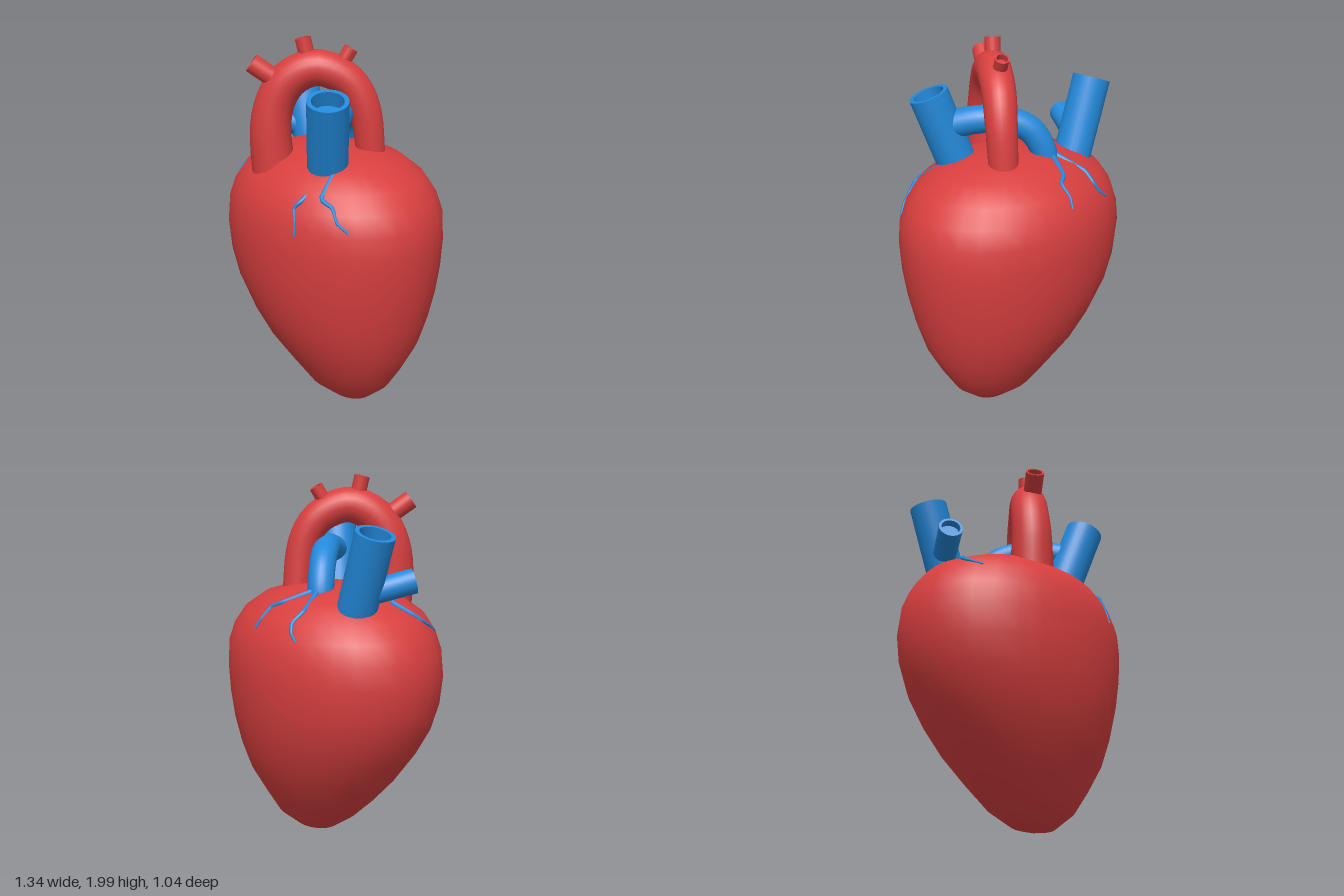
import * as THREE from 'three';
import { mergeVertices, toCreasedNormals } from 'three/addons/utils/BufferGeometryUtils.js';

const V = (p) => new THREE.Vector3(...p);

// Heart cross-sections: y, left edge x, right edge x, half depth
const ROWS = [
  [0.005, 0.16, 0.16, 0], [0.035, 0.02, 0.29, 0.1], [0.12, -0.11, 0.395, 0.205],
  [0.24, -0.245, 0.475, 0.285], [0.38, -0.38, 0.55, 0.375], [0.53, -0.5, 0.597, 0.44],
  [0.68, -0.595, 0.632, 0.485], [0.83, -0.65, 0.656, 0.51], [0.98, -0.67, 0.667, 0.52],
  [1.1, -0.656, 0.66, 0.513], [1.2, -0.615, 0.618, 0.485], [1.29, -0.55, 0.55, 0.43],
  [1.37, -0.415, 0.425, 0.33], [1.42, -0.25, 0.25, 0.2], [1.44, 0, 0, 0],
];

// Loft of ellipses through the rows
function heartGeometry(sides = 32) {
  const pos = [], index = [];
  ROWS.forEach(([y, x0, x1, d], j) => {
    for (let i = 0; i < sides; i++) {
      const a = (i / sides) * Math.PI * 2;
      pos.push((x0 + x1) / 2 + Math.sin(a) * (x1 - x0) / 2, y, Math.cos(a) * d);
      if (j === ROWS.length - 1) continue;
      const p = j * sides + i, q = j * sides + (i + 1) % sides;
      if (j > 0) index.push(p, q, p + sides);
      index.push(q, q + sides, p + sides);
    }
  });
  const g = new THREE.BufferGeometry();
  g.setAttribute('position', new THREE.Float32BufferAttribute(pos, 3));
  g.setIndex(index);
  const merged = mergeVertices(g);
  merged.computeVertexNormals();
  return merged;
}

// Point on the heart wall at x, y; side is +1 for the front, -1 for the back
function onHeart(x, y, side) {
  const j = Math.max(0, ROWS.findIndex((r) => r[0] > y) - 1);
  const a = ROWS[j], b = ROWS[j + 1], t = (y - a[0]) / (b[0] - a[0]);
  const [x0, x1, d] = [1, 2, 3].map((k) => a[k] + (b[k] - a[k]) * t);
  const u = (2 * x - x0 - x1) / (x1 - x0);
  return [x, y, side * d * Math.sqrt(Math.max(0, 1 - u * u))];
}

// Tube whose radius changes evenly from r0 to r1
function taperedTube(points, r0, r1, steps, sides, tension) {
  const curve = new THREE.CatmullRomCurve3(points.map(V), false, 'catmullrom', tension);
  const g = new THREE.TubeGeometry(curve, steps, 1, sides);
  const pos = g.attributes.position, v = new THREE.Vector3();
  for (let i = 0; i <= steps; i++) {
    const c = curve.getPointAt(i / steps), r = r0 + (r1 - r0) * i / steps;
    for (let k = 0; k <= sides; k++) {
      const n = i * (sides + 1) + k;
      v.fromBufferAttribute(pos, n).sub(c).multiplyScalar(r).add(c);
      pos.setXYZ(n, v.x, v.y, v.z);
    }
  }
  return g;
}

// Straight vessel stub with a hollow, rimmed end
function openPipe(from, to, r, depth) {
  const a = V(from), dir = V(to).sub(a), h = dir.length(), inner = r * 0.78;
  const profile = [[0, 0], [r, 0], [r, h], [inner, h], [inner, h - depth], [0, h - depth]];
  let g = new THREE.LatheGeometry(profile.map((p) => new THREE.Vector2(...p)), 24);
  g = toCreasedNormals(g, 0.7);
  g.applyQuaternion(new THREE.Quaternion().setFromUnitVectors(new THREE.Vector3(0, 1, 0), dir.normalize()));
  return g.translate(a.x, a.y, a.z);
}

export function createModel() {
  const group = new THREE.Group();
  const red = new THREE.MeshStandardMaterial({ color: 0xd93f3f });
  red.name = 'heart red';
  const blue = new THREE.MeshStandardMaterial({ color: 0x2389da });
  blue.name = 'vein blue';
  const add = (name, geometry, material) => {
    const mesh = new THREE.Mesh(geometry, material);
    mesh.name = name;
    group.add(mesh);
  };

  add('heartBody', heartGeometry(), red);

  // Aorta arch and its three branches
  add('aortaArch', taperedTube([
    [-0.13, 1.25, 0.29], [-0.142, 1.5, 0.303], [-0.13, 1.66, 0.28], [-0.085, 1.775, 0.225],
    [-0.015, 1.835, 0.14], [0.05, 1.825, 0.06], [0.12, 1.75, -0.03], [0.165, 1.6, -0.085],
    [0.18, 1.33, -0.115],
  ], 0.116, 0.074, 32, 24, 0.5), red);
  [
    [[-0.1, 1.76, 0.26], [-0.19, 1.865, 0.38], 0.05],
    [[-0.02, 1.85, 0.14], [-0.043, 1.99, 0.163], 0.041],
    [[0.065, 1.81, 0.03], [0.102, 1.935, -0.035], 0.037],
  ].forEach(([from, to, r], i) => add('aortaBranch' + (i + 1), openPipe(from, to, r, 0.035), red));

  // Blue trunks
  add('rightVein', openPipe([-0.33, 1.26, -0.13], [-0.505, 1.735, -0.137], 0.102, 0.08), blue);
  add('rightVeinBranch', openPipe([-0.42, 1.435, -0.09], [-0.535, 1.49, 0.095], 0.064, 0.04), blue);
  add('leftVein', openPipe([0.18, 1.28, 0.178], [0.315, 1.74, 0.28], 0.105, 0.08), blue);
  add('pulmonaryArch', taperedTube([
    [0.25, 1.57, 0.22], [0.15, 1.605, 0.09], [0.05, 1.6, -0.01], [-0.04, 1.545, -0.1],
    [-0.09, 1.43, -0.15], [-0.1, 1.3, -0.16],
  ], 0.075, 0.068, 24, 24, 0.5), blue);

  // Thin vessels lying on the heart wall: side, then x, y pairs
  [
    [1, [0.265, 1.39], [0.265, 1.25], [0.245, 1.215], [0.27, 1.15], [0.28, 1.08]],
    [1, [0.28, 1.385], [0.35, 1.27], [0.415, 1.235], [0.46, 1.17], [0.515, 1.125]],
    [1, [-0.41, 1.37], [-0.49, 1.31], [-0.515, 1.275], [-0.505, 1.25], [-0.48, 1.21]],
    [-1, [-0.12, 1.415], [-0.195, 1.335], [-0.19, 1.285], [-0.215, 1.235], [-0.26, 1.2]],
    [-1, [-0.1, 1.415], [-0.02, 1.36], [0.035, 1.335], [0.04, 1.28], [0.055, 1.23]],
  ].forEach(([side, ...path], i) => {
    const points = path.map(([x, y]) => onHeart(x, y, side));
    add('smallVessel' + (i + 1), taperedTube(points, 0.017, 0.006, 24, 8, 0.2), blue);
  });

  return group;
}
